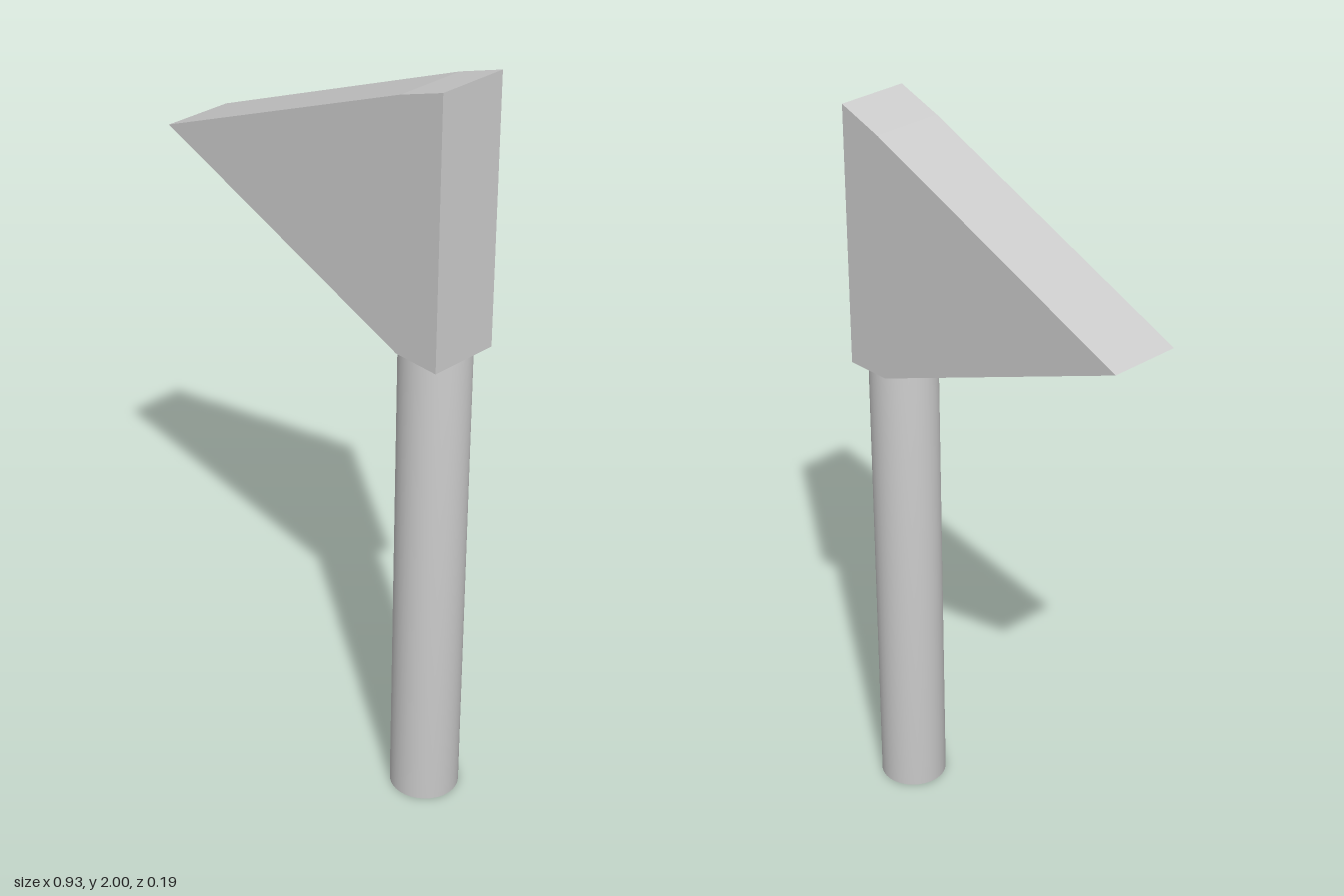
import * as THREE from 'three';
import { mergeVertices } from 'three/addons/utils/BufferGeometryUtils.js';

export function createModel() {
  const group = new THREE.Group();
  const material = new THREE.MeshStandardMaterial({ color: 0xcccccc });

  // Round pole, ends shaded softly into the sides
  const poleHeight = 1.33;
  let poleGeometry = new THREE.CylinderGeometry(0.09, 0.09, poleHeight, 32);
  poleGeometry.deleteAttribute('normal');
  poleGeometry.deleteAttribute('uv');
  poleGeometry = mergeVertices(poleGeometry);
  poleGeometry.computeVertexNormals();
  const pole = new THREE.Mesh(poleGeometry, material);
  pole.name = 'pole';
  pole.position.set(0.372, poleHeight / 2, 0);
  group.add(pole);

  // Thick triangular pennant, its edges bending slightly near the pole
  const depth = 0.19;
  const outline = [[-0.465, 1.63], [0.335, 1.303], [0.463, 1.3], [0.463, 2], [0.335, 1.957]];
  const shape = new THREE.Shape(outline.map(([x, y]) => new THREE.Vector2(x, y)));
  const pennantGeometry = new THREE.ExtrudeGeometry(shape, { depth, bevelEnabled: false });
  pennantGeometry.translate(0, 0, -depth / 2);
  const pennant = new THREE.Mesh(pennantGeometry, material);
  pennant.name = 'pennant';
  group.add(pennant);

  return group;
}
